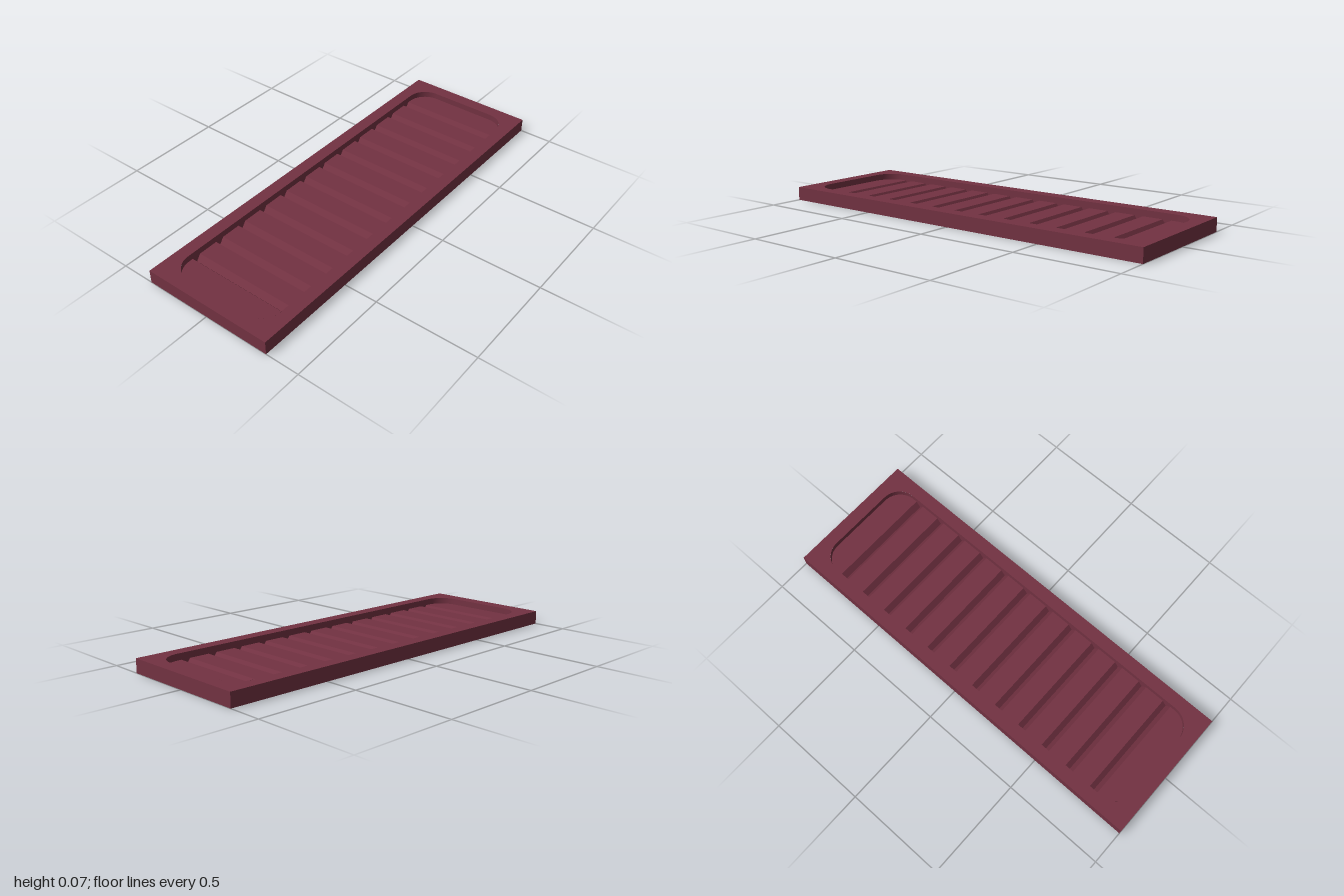
import * as THREE from 'three';
import { toCreasedNormals } from 'three/addons/utils/BufferGeometryUtils.js';

const W = 1, D = 0.333, TOP = 0.067;               // half width, half depth, height
const RX = 0.935, RZ = 0.27, R = 0.1;              // recess half sizes, corner radius
const FLOOR = 0.036, GROOVE = 0.006;               // recess floor, groove bottom
const GROOVES = 12, FIRST = 0.79, HALF = 0.022;    // groove count, outermost x, half width

// Rounded outline of the recess
function roundedRect(path) {
  const q = Math.PI / 2;
  path.absarc(RX - R, RZ - R, R, 0, q);
  path.absarc(-RX + R, RZ - R, R, q, 2 * q);
  path.absarc(-RX + R, -RZ + R, R, 2 * q, 3 * q);
  path.absarc(RX - R, -RZ + R, R, 3 * q, 4 * q);
  path.closePath();
  return path;
}

// Non-indexed geometry from quads, corners anticlockwise
function quadGeometry(quads) {
  const pos = quads.flatMap(([a, b, c, d]) => [...a, ...b, ...c, ...a, ...c, ...d]);
  const g = new THREE.BufferGeometry();
  g.setAttribute('position', new THREE.Float32BufferAttribute(pos, 3));
  g.computeVertexNormals();
  return g;
}

// Cross-section stations [x, floor y, half depth] along the recess
function stations() {
  const arc = [];
  for (let i = 0; i <= 12; i++) {
    const a = (i / 12) * Math.PI / 2;
    arc.push([-RX + R - R * Math.cos(a), FLOOR, RZ - R + R * Math.sin(a)]);
  }
  const list = [[-RX, FLOOR, 0], ...arc];
  for (let i = 0; i < GROOVES; i++) {
    const x = -FIRST + (2 * FIRST * i) / (GROOVES - 1);
    list.push([x - HALF, FLOOR, RZ], [x, GROOVE, RZ], [x + HALF, FLOOR, RZ]);
  }
  const end = arc.map(([x, y, z]) => [-x, y, z]).reverse();
  list.push(...end, [RX, FLOOR, 0]);
  return list;
}

export function createModel() {
  const group = new THREE.Group();
  const material = new THREE.MeshStandardMaterial({ color: 0x733242, side: THREE.DoubleSide });
  const add = (name, geometry) => {
    const mesh = new THREE.Mesh(geometry, material);
    mesh.name = name;
    group.add(mesh);
  };

  // Flat top border around the rounded opening
  const border = new THREE.Shape([
    new THREE.Vector2(-W, -D), new THREE.Vector2(W, -D),
    new THREE.Vector2(W, D), new THREE.Vector2(-W, D),
  ]);
  border.holes.push(roundedRect(new THREE.Path()));
  add('topBorder', new THREE.ShapeGeometry(border, 12).rotateX(-Math.PI / 2).translate(0, TOP, 0));

  // Thin outer skirt, open underneath
  const corners = [[-W, D], [W, D], [W, -D], [-W, -D]];
  add('outerSkirt', quadGeometry(corners.map(([x, z], i) => {
    const [x1, z1] = corners[(i + 1) % 4];
    return [[x, 0, z], [x1, 0, z1], [x1, TOP, z1], [x, TOP, z]];
  })));

  // Grooved floor and upright walls of the recess
  const floor = [], walls = [];
  const list = stations();
  for (let i = 0; i < list.length - 1; i++) {
    const [x0, y0, h0] = list[i], [x1, y1, h1] = list[i + 1];
    if (x1 - x0 > 1e-6) {
      floor.push([[x0, y0, -h0], [x0, y0, h0], [x1, y1, h1], [x1, y1, -h1]]);
    }
    walls.push([[x1, y1, h1], [x0, y0, h0], [x0, TOP, h0], [x1, TOP, h1]]);
    walls.push([[x0, y0, -h0], [x1, y1, -h1], [x1, TOP, -h1], [x0, TOP, -h0]]);
  }
  add('groovedFloor', quadGeometry(floor));
  add('recessWalls', toCreasedNormals(quadGeometry(walls), 0.6));

  return group;
}
